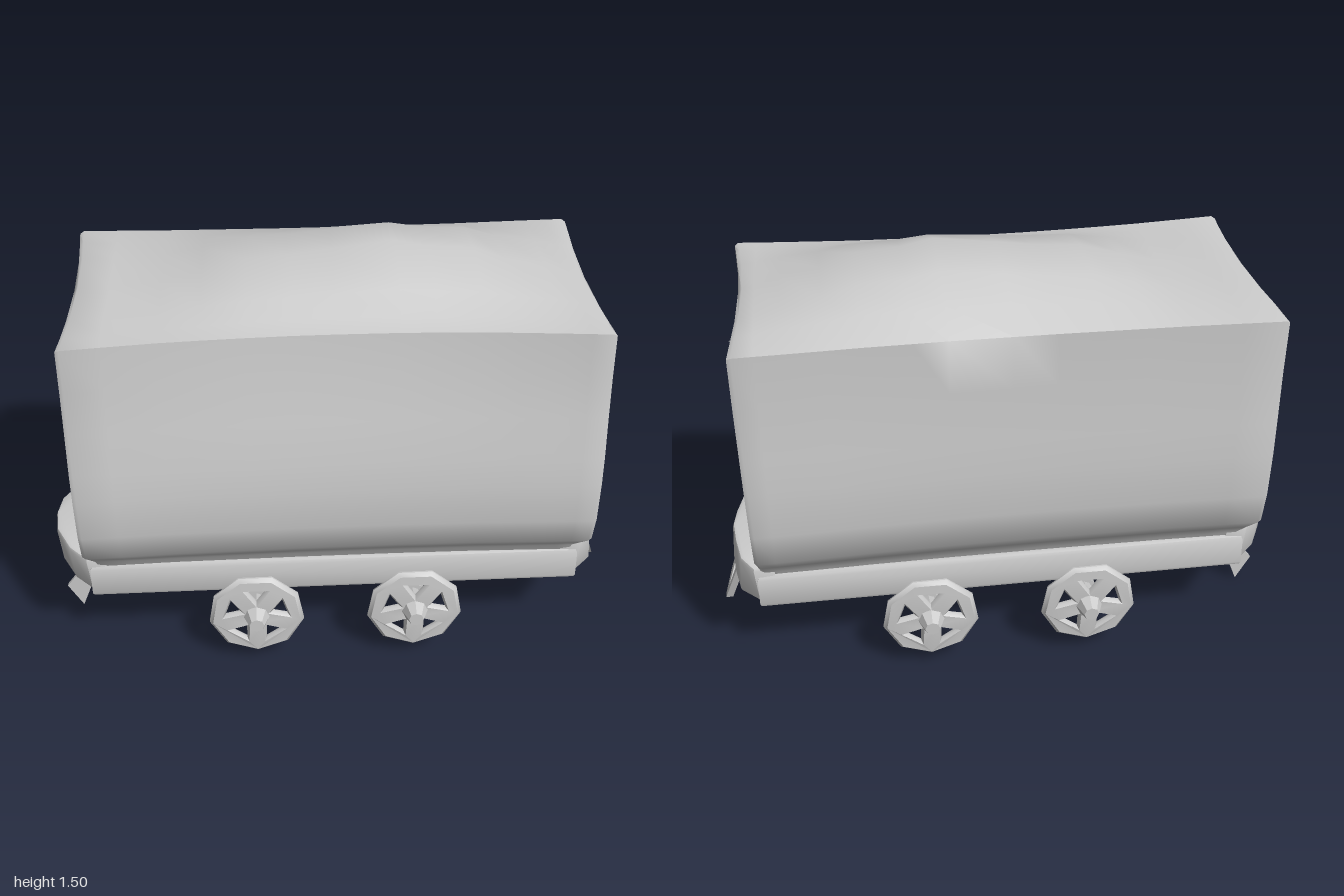
import * as THREE from 'three';
import { toCreasedNormals } from 'three/addons/utils/BufferGeometryUtils.js';

const material = new THREE.MeshStandardMaterial({ color: 0xcccccc, side: THREE.DoubleSide });

function add(parent, name, geometry, crease = 0.7) {
  const mesh = new THREE.Mesh(toCreasedNormals(geometry, crease), material);
  mesh.name = name;
  parent.add(mesh);
  return mesh;
}

// Skin a list of closed rings of [x, y, z] points, closed by a fan at each end
function loft(rings, startCentre, endCentre) {
  const n = rings[0].length, index = [], last = (rings.length - 1) * n, start = last + n;
  for (let j = 0; j < n; j++) {
    const k = (j + 1) % n;
    for (let i = 0; i < last; i += n) {
      index.push(i + j, i + n + j, i + k, i + k, i + n + j, i + n + k);
    }
    index.push(start, j, k, start + 1, last + k, last + j);
  }
  const g = new THREE.BufferGeometry();
  const points = [...rings.flat(), startCentre, endCentre];
  g.setAttribute('position', new THREE.Float32BufferAttribute(points.flat(), 3));
  g.setIndex(index);
  return g;
}

// Move every vertex by a rule
function reshape(g, rule) {
  const p = g.attributes.position, v = new THREE.Vector3();
  for (let i = 0; i < p.count; i++) {
    rule(v.fromBufferAttribute(p, i));
    p.setXYZ(i, v.x, v.y, v.z);
  }
  return g;
}

const toShape = pts => new THREE.Shape(pts.map(p => new THREE.Vector2(p[0], p[1])));
const toPath = pts => new THREE.Path(pts.map(p => new THREE.Vector2(p[0], p[1])));

// Flat outline in x and -z, raised from y0 to y1
function slab(shape, y0, y1, bevel) {
  const g = new THREE.ExtrudeGeometry(shape, {
    depth: y1 - y0 - 2 * bevel, bevelSize: bevel,
    bevelThickness: bevel, bevelOffset: -bevel, bevelSegments: 2,
  });
  return g.rotateX(-Math.PI / 2).translate(0, y0 + bevel, 0);
}

// Tub cross-section [z, y], from the keel around the front to the heaped top and back
const section = [
  [0, 0.3], [0.23, 0.31], [0.255, 0.42], [0.34, 0.5], [0.437, 0.59], [0.457, 0.69], [0.45, 0.83],
  [0.436, 0.93], [0.412, 1.07], [0.394, 1.21], [0.385, 1.36], [0.31, 1.38], [0.2, 1.435], [0, 1.505],
  [-0.2, 1.475], [-0.32, 1.415], [-0.437, 1.352], [-0.437, 1.17], [-0.45, 0.99], [-0.457, 0.87],
  [-0.457, 0.71], [-0.437, 0.59], [-0.34, 0.5], [-0.247, 0.41], [-0.23, 0.31],
];

// Stations along the tub: [x, height of the heap, scale of the ring]
const stations = [
  [-0.835, 0, 0.4], [-0.838, 0, 0.75], [-0.845, 0, 0.92], [-0.858, 0, 0.985], [-0.845, 0.05, 1],
  [-0.72, 0.03, 0.99], [-0.55, 0.12, 0.975], [-0.42, 0.36, 0.97], [-0.28, 0.64, 0.965],
  [-0.14, 0.7, 0.96], [0, 0.83, 0.96], [0.2, 1, 0.96], [0.31, 0.84, 0.965], [0.46, 0.76, 0.97],
  [0.57, 0.46, 0.98], [0.7, 0.3, 0.99], [0.78, 0.08, 0.995], [0.845, 0.05, 1], [0.858, 0, 0.985],
  [0.845, 0, 0.92], [0.838, 0, 0.75], [0.835, 0, 0.4],
];

function makeTub() {
  const midY = 0.85;
  const rings = stations.map(([x, heap, s]) => section.map(([z, y]) => {
    const top = y > 1.36 ? 1.36 + (y - 1.36) * heap : y;
    const end = Math.abs(x) > 0.81;
    return [x, end ? midY + (top - midY) * s : top, z * s];
  }));
  return reshape(loft(rings, [-0.835, midY, 0], [0.835, midY, 0]), v => {
    // end walls dished towards the rim, straight at the floor
    const dish = Math.max(0, 1 - (v.z / 0.42) ** 2) * THREE.MathUtils.smoothstep(v.y, 0.6, 1.2);
    const low = THREE.MathUtils.clamp((1.2 - v.y) / 0.8, 0, 1);
    if (Math.abs(v.x) > 0.81) v.x -= Math.sign(v.x) * (0.025 * dish + 0.012 * low);
    // front rim bows inward along its length
    const rim = THREE.MathUtils.smoothstep(v.y, 0.95, 1.4);
    if (v.z > 0.28) v.z -= 0.035 * rim * Math.max(0, 1 - (v.x / 0.84) ** 2);
  });
}

function makeWheel() {
  const wheel = new THREE.Group();
  const rim = toShape(Array.from({ length: 9 }, (_, i) => {
    const a = (i / 9) * Math.PI * 2 + 0.524;
    return [0.17 * Math.cos(a), 0.17 * Math.sin(a)];
  }));
  for (let i = 0; i < 5; i++) {
    const a = (i / 5) * Math.PI * 2 + 0.3;
    const at = (r, t) => [r * Math.cos(a + t), r * Math.sin(a + t)];
    rim.holes.push(toPath([at(0.06, 0), at(0.11, -0.3), at(0.11, 0.3)]));
  }
  const g = new THREE.ExtrudeGeometry(rim, {
    depth: 0.006, bevelThickness: 0.012, bevelSize: 0.012, bevelOffset: -0.012, bevelSegments: 1,
  });
  // spokes rise towards the hub
  add(wheel, 'spokedWheel', reshape(g, v => {
    v.z += 0.01 * (1 - Math.hypot(v.x, v.y) / 0.17) - 0.003;
  }));
  const hub = new THREE.CylinderGeometry(0.026, 0.052, 0.065, 8).rotateX(Math.PI / 2);
  add(wheel, 'hubCap', hub.translate(0, 0, 0.037));
  const collar = new THREE.CylinderGeometry(0.042, 0.026, 0.08, 8).rotateX(Math.PI / 2);
  add(wheel, 'hubCollar', collar.translate(0, 0, -0.04));
  return wheel;
}

export function createModel() {
  const cart = new THREE.Group();
  cart.name = 'mineCart';
  add(cart, 'loadedTub', makeTub(), 1.1);

  // Open chassis frame under the tub
  const frame = toShape([[-0.86, -0.268], [0.86, -0.268], [0.86, 0.268], [-0.86, 0.268]]);
  frame.holes.push(toPath([[-0.8, -0.21], [-0.8, 0.21], [0.8, 0.21], [0.8, -0.21]]));
  add(cart, 'chassisFrame', reshape(slab(frame, 0.275, 0.4, 0.015), v => {
    // upper edge of the rails tucks in under the tub
    if (v.y > 0.38 && Math.abs(v.z) > 0.24) v.z *= 0.97;
  }));

  // Rounded bumpers
  for (const side of [-1, 1]) {
    const tip = side < 0 ? 0.998 : 0.965;
    const outline = [[0.8, -0.25], [0.87, -0.255], [0.935, -0.19], [tip - 0.01, -0.09], [tip, 0],
      [tip - 0.01, 0.09], [0.935, 0.19], [0.87, 0.255], [0.8, 0.25]];
    const bumper = add(cart, side < 0 ? 'rightBumper' : 'leftBumper',
      reshape(slab(toShape(outline), 0.285, 0.435, 0.012), v => {
        // crown the middle; the left bumper slopes back at its top
        if (v.y > 0.4) {
          v.y += 0.018 * (1 - Math.abs(v.z) / 0.26);
          if (side > 0 && v.x > 0.9) v.x -= 0.02;
        } else if (v.x > 0.86) {
          v.x -= 0.01;
          v.y += 0.01;
        }
      }));
    if (side < 0) bumper.rotation.y = Math.PI;
  }

  // Axles and wheels
  for (const x of [-0.285, 0.275]) {
    const axle = add(cart, 'axle', new THREE.CylinderGeometry(0.045, 0.045, 0.52, 8).rotateX(Math.PI / 2));
    axle.position.set(x, 0.226, 0);
    for (const side of [-1, 1]) {
      const wheel = makeWheel();
      wheel.name = side > 0 ? 'frontWheel' : 'backWheel';
      wheel.position.set(x, 0.228, side * 0.335);
      wheel.rotation.set(-0.03, side > 0 ? 0 : Math.PI, 0);
      cart.add(wheel);
    }
  }

  // Hanging coupling hook with a flared blade
  const hook = toShape([[-0.965, 0.34], [-0.925, 0.34], [-0.925, 0.21], [-0.885, 0.185], [-0.9, 0.12],
    [-0.947, 0.004], [-0.998, 0.1], [-0.945, 0.17], [-0.95, 0.22]]);
  add(cart, 'couplingHook', new THREE.ExtrudeGeometry(hook, { depth: 0.014, bevelEnabled: false })
    .translate(0, 0, -0.007));

  // V-shaped coupling link at the other end
  const link = toShape([[-0.06, 0.33], [-0.015, 0.32], [0.025, 0.2], [0.05, 0.3], [0.085, 0.31],
    [0.04, 0.155], [0.015, 0.15], [-0.03, 0.22]]);
  const linkGeometry = new THREE.ExtrudeGeometry(link, { depth: 0.025, bevelEnabled: false })
    .rotateY(Math.PI / 2);
  add(cart, 'couplingLink', reshape(linkGeometry, v => { v.x += 0.912 + (0.33 - v.y) * 0.35; }));

  // Small handles on the end walls
  for (const side of [-1, 1]) {
    const handle = add(cart, 'endHandle', new THREE.ConeGeometry(0.1, 0.075, 3).rotateZ(-Math.PI / 2));
    handle.scale.set(1, 0.3, 0.9);
    handle.position.set(side * 0.842, 1.19, -0.015);
    handle.rotation.y = side > 0 ? 0 : Math.PI;
  }
  return cart;
}
